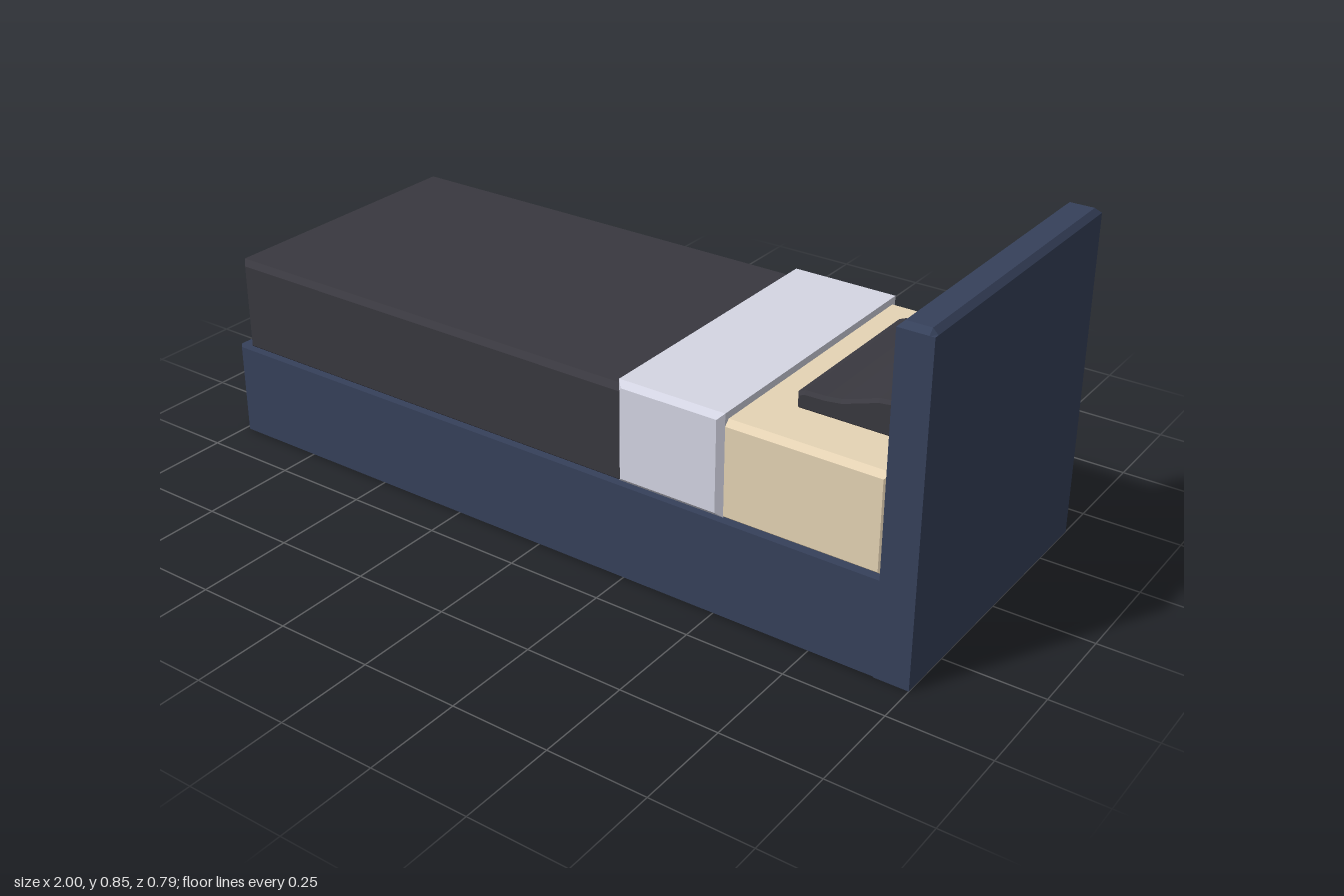
import * as THREE from 'three';

const NAVY = 0x36415b, CHARCOAL = 0x39383f, CREAM = 0xe6d4b5, PALE = 0xd5d6e4, GREY = 0xcccccc;

function add(group, name, geometry, color) {
  const mesh = new THREE.Mesh(geometry, new THREE.MeshStandardMaterial({ color, flatShading: true }));
  mesh.name = name;
  group.add(mesh);
  return mesh;
}

function polygon(points) {
  return new THREE.Shape(points.map(([x, y]) => new THREE.Vector2(x, y)));
}

// Box with all twelve edges chamfered by c, given by its limits
function chamferBox(x0, x1, y0, y1, halfZ, c) {
  const shape = polygon([
    [x0 + c, y0 + c], [x1 - c, y0 + c], [x1 - c, y1 - c], [x0 + c, y1 - c],
  ]);
  const g = new THREE.ExtrudeGeometry(shape, {
    depth: 2 * (halfZ - c), bevelEnabled: true, bevelSize: c, bevelThickness: c, bevelSegments: 1,
  });
  return g.translate(0, 0, c - halfZ);
}

// Closed solid through six-sided rings, running from +x towards -x
function loftAlongX(rings) {
  const pos = [];
  const tri = (...corners) => corners.forEach((p) => pos.push(...p));
  const n = rings[0].length;
  const first = rings[0], last = rings[rings.length - 1];
  for (let r = 0; r + 1 < rings.length; r++) {
    const a = rings[r], b = rings[r + 1];
    for (let i = 0; i < n; i++) {
      const j = (i + 1) % n;
      tri(a[i], a[j], b[i]);
      tri(a[j], b[j], b[i]);
    }
  }
  for (let i = 1; i + 1 < n; i++) {
    tri(first[0], first[i + 1], first[i]);
    tri(last[0], last[i], last[i + 1]);
  }
  const g = new THREE.BufferGeometry();
  g.setAttribute('position', new THREE.Float32BufferAttribute(pos, 3));
  g.computeVertexNormals();
  return g;
}

export function createModel() {
  const bed = new THREE.Group();
  bed.name = 'bed';
  const W = 0.397;

  // Base with cut corners at the foot end
  const c = 0.015;
  const plan = polygon([[-1 + c, -W], [0.92, -W], [0.92, W], [-1 + c, W], [-1, W - c], [-1, -W + c]]);
  const base = new THREE.ExtrudeGeometry(plan, { depth: 0.243, bevelEnabled: false });
  add(bed, 'base', base.rotateX(-Math.PI / 2).translate(0, 0.002, 0), NAVY);
  add(bed, 'underside', new THREE.ShapeGeometry(plan).rotateX(Math.PI / 2), GREY);

  // Headboard: chamfered top, sloping recess on the bed side
  const k = 0.013, H = 0.845;
  const ring = (x, y0, ySide, yTop, w) => [
    [x, y0, -w], [x, y0, w], [x, ySide, w], [x, yTop, w - k], [x, yTop, k - w], [x, ySide, -w],
  ];
  add(bed, 'headboard', loftAlongX([
    ring(1, 0, H - k, H - k, W),
    ring(1 - k, 0, H - k, H, W),
    ring(0.914 + k, 0, H - k, H, W),
    ring(0.914, 0, H - k, H - k, W),
    ring(0.914, 0.26, 0.775, 0.775, 0.33),
    ring(0.955, 0.31, 0.72, 0.72, 0.285),
  ]), NAVY);

  // Bedding
  add(bed, 'mattress', chamferBox(0.2, 0.912, 0.235, 0.487, 0.377, 0.014), CREAM);
  add(bed, 'blanket', chamferBox(-0.977, 0.25, 0.235, 0.488, 0.379, 0.014), CHARCOAL);
  add(bed, 'blanketFold', chamferBox(0.227, 0.51, 0.245, 0.505, 0.391, 0.014), PALE);

  // Pillow rising towards the headboard
  const b = 0.008;
  const profile = polygon([
    [0.608, 0.49], [0.852, 0.49], [0.852, 0.56], [0.835, 0.563], [0.8, 0.559],
    [0.755, 0.543], [0.71, 0.529], [0.67, 0.524], [0.62, 0.523], [0.608, 0.518],
  ]);
  const pillow = new THREE.ExtrudeGeometry(profile, {
    depth: 0.47 - 2 * b, bevelEnabled: true, bevelSize: b, bevelThickness: b, bevelSegments: 1,
  });
  add(bed, 'pillow', pillow.translate(0, 0, b - 0.237), CHARCOAL);

  return bed;
}
